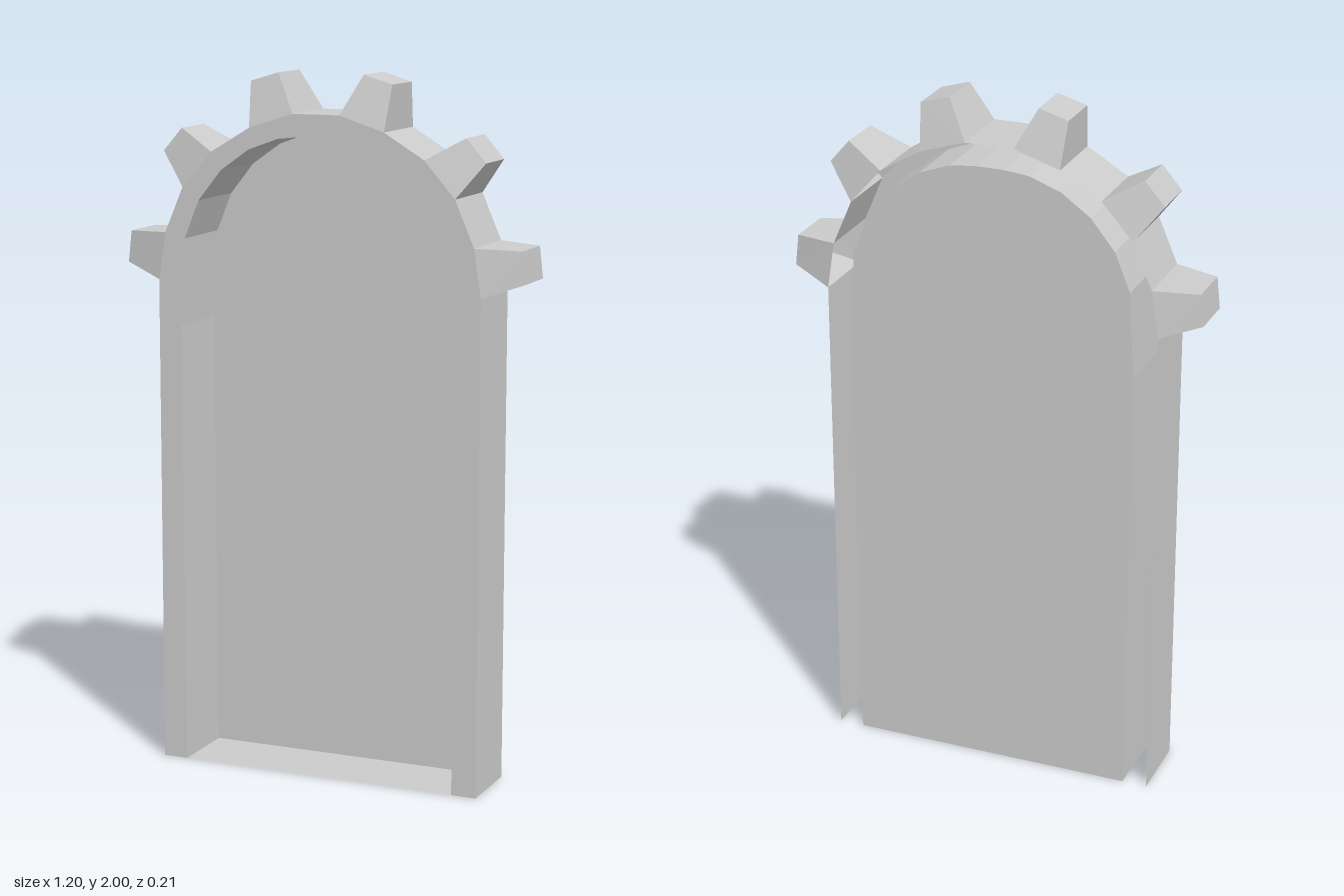
import * as THREE from 'three';

const DEPTH = 0.105; // half thickness of the frame
const TIP = 0.07;    // half thickness of a tooth at its tip

// Right half of the outline, bottom to top; each tooth is base, tip, tip, base.
const foot = [0.487, 0];
const rightTeeth = [
  [[0.487, 1.41], [0.602, 1.45], [0.592, 1.54], [0.466, 1.545]],
  [[0.41, 1.675], [0.485, 1.772], [0.428, 1.838], [0.32, 1.777]],
  [[0.202, 1.848], [0.212, 1.975], [0.128, 2.0], [0.07, 1.89]],
];
// Right half of the inner arch, bottom to top.
const rightArch = [
  [0.414, 0], [0.419, 1.28], [0.405, 1.53], [0.36, 1.64],
  [0.29, 1.727], [0.205, 1.787], [0.115, 1.82], [0.04, 1.828],
];

const mirror = (pts) => pts.map(([x, y]) => [-x, y]).reverse();
const at = ([x, y], z) => [x, y, z];

// Flat-shaded surface from a list of four-cornered faces.
function quads(name, faces, material) {
  const pos = [];
  for (const [a, b, c, d] of faces) pos.push(...a, ...b, ...c, ...a, ...c, ...d);
  const geo = new THREE.BufferGeometry();
  geo.setAttribute('position', new THREE.Float32BufferAttribute(pos, 3));
  geo.computeVertexNormals();
  const mesh = new THREE.Mesh(geo, material);
  mesh.name = name;
  return mesh;
}

// Wall through the frame's depth along one outline edge.
const wall = (a, b, za = DEPTH, zb = za) => [at(a, za), at(a, -za), at(b, -zb), at(b, zb)];

function flat(name, pts, z, material) {
  const shape = new THREE.Shape(pts.map(([x, y]) => new THREE.Vector2(x, y)));
  const mesh = new THREE.Mesh(new THREE.ShapeGeometry(shape), material);
  mesh.position.z = z;
  mesh.name = name;
  return mesh;
}

export function createModel() {
  const group = new THREE.Group();
  group.name = 'archedFrame';
  const material = new THREE.MeshStandardMaterial({
    color: 0xcccccc, flatShading: true, side: THREE.DoubleSide,
  });

  const teeth = [...rightTeeth, ...rightTeeth.map(mirror).reverse()];
  const arch = [...rightArch, ...mirror(rightArch)];
  const leftFoot = [-foot[0], foot[1]];

  // Front border between the outer edge and the arch opening
  const border = [foot, ...teeth.flatMap((t) => [t[0], t[3]]), leftFoot, ...[...arch].reverse()];
  group.add(flat('frontBorder', border, DEPTH, material));

  // Outer walls: the straight sides and the gaps between teeth
  const stops = [foot, ...teeth.flatMap((t) => [t[0], t[3]]), leftFoot];
  const outer = [];
  for (let i = 0; i < stops.length; i += 2) outer.push(wall(stops[i], stops[i + 1]));
  group.add(quads('outerWalls', outer, material));

  // Teeth taper towards the tip on every side and are open at the base
  for (const [a, b, c, d] of teeth) {
    group.add(quads('tooth', [
      wall(a, b, DEPTH, TIP),
      wall(b, c, TIP),
      wall(c, d, TIP, DEPTH),
      [at(a, DEPTH), at(b, TIP), at(c, TIP), at(d, DEPTH)],
      [at(d, -DEPTH), at(c, -TIP), at(b, -TIP), at(a, -DEPTH)],
    ], material));
  }

  // Recess walls and sill, facing inwards
  const recess = arch.map((p, i) => wall(arch[(i + 1) % arch.length], p));
  group.add(quads('recessWalls', recess, material));

  // Panel closing the recess at the back
  group.add(flat('backPanel', arch, -DEPTH, material));

  return group;
}
